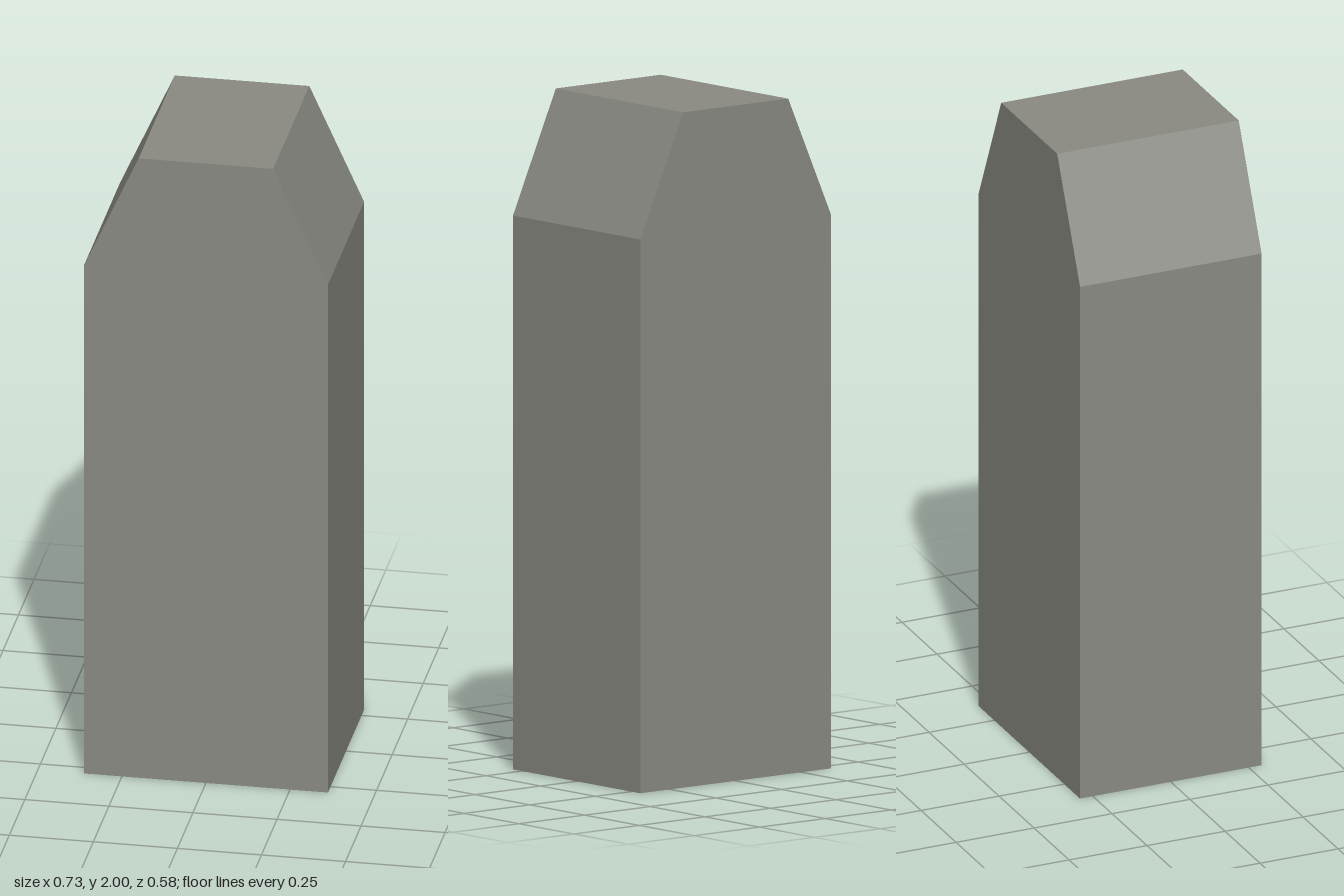
import * as THREE from 'three';

export function createModel() {
  const halfWidth = 0.363, halfTop = 0.2, shoulder = 1.64, height = 2, depth = 0.582;

  // Front outline: straight sides, sloped shoulders, flat top
  const outline = new THREE.Shape([
    new THREE.Vector2(-halfWidth, 0),
    new THREE.Vector2(halfWidth, 0),
    new THREE.Vector2(halfWidth, shoulder),
    new THREE.Vector2(halfTop, height),
    new THREE.Vector2(-halfTop, height),
    new THREE.Vector2(-halfWidth, shoulder),
  ]);

  // Extruded front to back and centred in z
  const geometry = new THREE.ExtrudeGeometry(outline, { depth, bevelEnabled: false });
  geometry.translate(0, 0, -depth / 2);

  const stone = new THREE.MeshStandardMaterial({ color: 0x8a8a83 });
  const post = new THREE.Mesh(geometry, stone);
  post.name = 'stonePost';

  const model = new THREE.Group();
  model.name = 'chamferedPost';
  model.add(post);
  return model;
}
